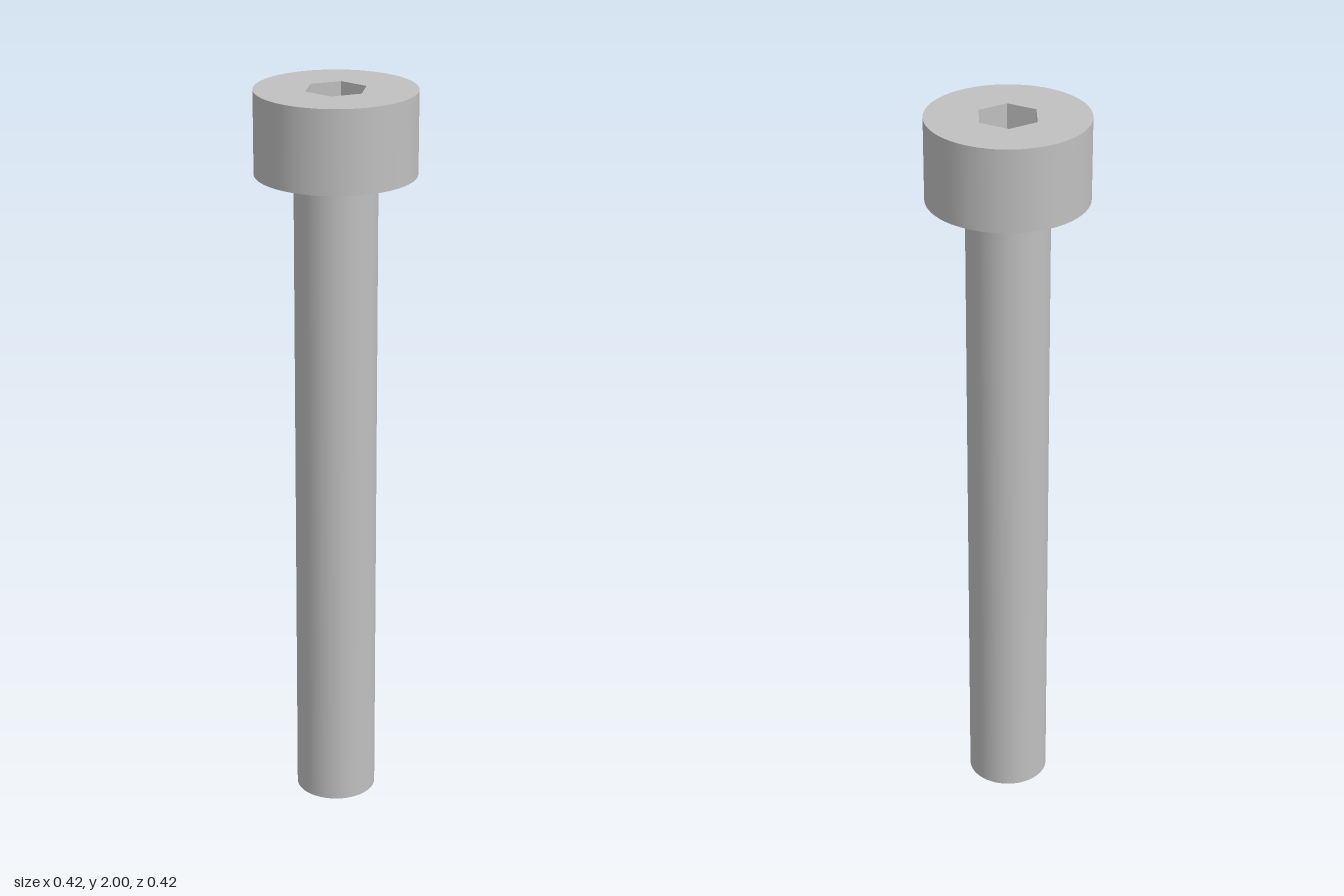
import * as THREE from 'three';

const SEGMENTS = 64;
const HEIGHT = 2, HEAD_BASE = 1.78;
const HEAD_R = 0.211, SHAFT_R = 0.109;
const SOCKET_R = 0.083, SOCKET_DEPTH = 0.11;

export function createModel() {
  const model = new THREE.Group();
  model.name = 'socketHeadScrew';
  const steel = new THREE.MeshStandardMaterial({ color: 0xc0c0c0 });
  steel.name = 'steel grey';

  const add = (parent, name, geometry, y) => {
    const mesh = new THREE.Mesh(geometry, steel);
    mesh.name = name;
    mesh.position.y = y;
    parent.add(mesh);
  };

  // Plain shaft
  add(model, 'shaft', new THREE.CylinderGeometry(SHAFT_R, SHAFT_R, HEAD_BASE, SEGMENTS), HEAD_BASE / 2);

  const head = new THREE.Group();
  head.name = 'head';
  model.add(head);

  // Round side wall of the head
  const headHeight = HEIGHT - HEAD_BASE;
  add(head, 'headSide', new THREE.CylinderGeometry(HEAD_R, HEAD_R, headHeight, SEGMENTS, 1, true), HEAD_BASE + headHeight / 2);

  // Bearing face under the head
  add(head, 'headUnderside', new THREE.RingGeometry(SHAFT_R, HEAD_R, SEGMENTS).rotateX(Math.PI / 2), HEAD_BASE);

  // Top face with a hexagonal opening, corners on the x axis
  const top = new THREE.Shape().absarc(0, 0, HEAD_R, 0, Math.PI * 2);
  const corners = Array.from({ length: 6 }, (_, i) => {
    const a = -i * Math.PI / 3;
    return new THREE.Vector2(Math.cos(a) * SOCKET_R, Math.sin(a) * SOCKET_R);
  });
  top.holes.push(new THREE.Path(corners));
  add(head, 'headTop', new THREE.ShapeGeometry(top, SEGMENTS / 2).rotateX(-Math.PI / 2), HEIGHT);

  // Flat socket walls: mirrored so the faces point inward
  const walls = new THREE.CylinderGeometry(SOCKET_R, SOCKET_R, SOCKET_DEPTH, 6, 1, true, Math.PI / 6)
    .scale(-1, 1, 1)
    .toNonIndexed();
  walls.computeVertexNormals();
  add(head, 'socketWalls', walls, HEIGHT - SOCKET_DEPTH / 2);

  // Socket floor
  add(head, 'socketFloor', new THREE.CircleGeometry(SOCKET_R, 6).rotateX(-Math.PI / 2), HEIGHT - SOCKET_DEPTH);

  return model;
}
